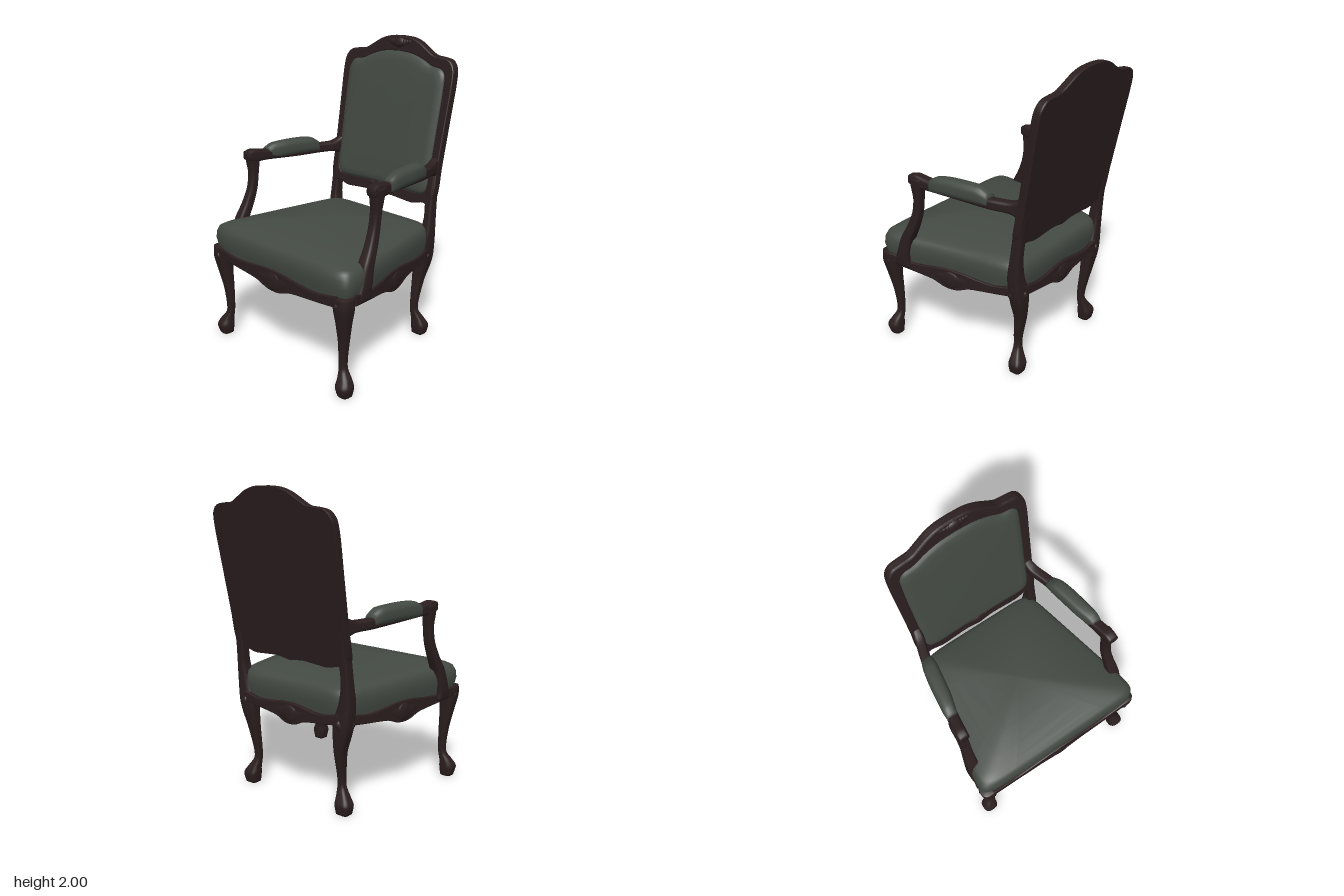
import * as THREE from 'three';

const wood = new THREE.MeshStandardMaterial({ color: 0x2b1e1f });
wood.name = 'dark wood';
const fabric = new THREE.MeshStandardMaterial({ color: 0x434943, side: THREE.DoubleSide });
fabric.name = 'grey green fabric';

const V = (x, y, z) => new THREE.Vector3(x, y, z);
const spow = (v, p) => Math.sign(v) * Math.pow(Math.abs(v), p);

function mesh(parent, name, geo, mat) {
  const m = new THREE.Mesh(geo, mat);
  m.name = name;
  parent.add(m);
  return m;
}

// Skin over rings of points; the last end is capped, the first one unless open
function skin(rings, open = false) {
  const n = rings[0].length, last = rings.length - 1, pos = [], idx = [];
  rings.forEach(r => r.forEach(p => pos.push(p.x, p.y, p.z)));
  for (let i = 0; i < last; i++)
    for (let j = 0; j < n; j++) {
      const a = i * n + j, b = i * n + (j + 1) % n;
      idx.push(a, b, a + n, b, b + n, a + n);
    }
  (open ? [last] : [0, last]).forEach(i => {
    const c = V(0, 0, 0), k = pos.length / 3;
    rings[i].forEach(p => c.addScaledVector(p, 1 / n));
    pos.push(c.x, c.y, c.z);
    for (let j = 0; j < n; j++) {
      const a = i * n + j, b = i * n + (j + 1) % n;
      if (i === 0) idx.push(b, a, k); else idx.push(a, b, k);
    }
  });
  // turn the faces outward if the enclosed volume is negative
  let vol = 0;
  const at = i => V(pos[3 * i], pos[3 * i + 1], pos[3 * i + 2]);
  for (let i = 0; i < idx.length; i += 3) vol += at(idx[i]).dot(at(idx[i + 1]).cross(at(idx[i + 2])));
  if (vol < 0) idx.reverse();
  const g = new THREE.BufferGeometry();
  g.setAttribute('position', new THREE.Float32BufferAttribute(pos, 3));
  g.setIndex(idx);
  g.computeVertexNormals();
  return g;
}

// Smooth limb through sections [x, y, z, halfWidth, halfDepth], mirrored by side
function limb(sections, side, axis, power = 0.7, n = 16) {
  const curve = pts => new THREE.CatmullRomCurve3(pts, false, 'catmullrom', 0.4);
  const mid = curve(sections.map(s => V(s[0] * side, s[1], s[2])));
  const size = curve(sections.map(s => V(s[3], s[4], 0)));
  const steps = (sections.length - 1) * 4, rings = [];
  for (let i = 0; i <= steps; i++) {
    const c = mid.getPoint(i / steps), h = size.getPoint(i / steps), ring = [];
    for (let j = 0; j < n; j++) {
      const t = (j + 0.5) / n * Math.PI * 2;
      const u = h.x * spow(Math.cos(t), power), v = h.y * spow(Math.sin(t), power);
      ring.push(axis === 'y' ? V(c.x + u, c.y, c.z + v) : V(c.x + u, c.y + v, c.z));
    }
    rings.push(ring);
  }
  return skin(rings);
}

// Carved shell: a boss with leaves fanning to both sides
function carving(parent, name, w, h, depth) {
  const g = new THREE.Group();
  g.name = name;
  const ball = new THREE.SphereGeometry(1, 14, 10);
  mesh(g, 'carvedBoss', ball, wood).scale.set(w * 0.5, h, depth);
  for (const s of [-1, 1])
    for (let i = 0; i < 3; i++) {
      const leaf = mesh(g, 'carvedLeaf', ball, wood);
      leaf.position.set(s * w * (0.4 + i * 0.2), h * (0.1 * i), -depth * 0.15);
      leaf.rotation.z = s * 0.35;
      leaf.scale.set(w * 0.28, h * (0.75 - i * 0.17), depth * (0.8 - i * 0.12));
    }
  parent.add(g);
  return g;
}

// Full closed outline from half a profile that runs bottom centre to top centre
function mirrorOutline(half) {
  const pts = half.map(p => V(p[0], p[1], 0));
  const right = new THREE.CatmullRomCurve3(pts).getPoints(half.length * 4);
  const left = right.slice(1, -1).reverse().map(p => V(-p.x, p.y, 0));
  return [...right, ...left];
}

// Apron rail with a wavy lower edge, facing the direction (nx, nz)
function rail(parent, name, x, z, nx, nz, half, carveWidth) {
  const g = new THREE.Group();
  g.name = name;
  const low = [[1, 0.595], [0.75, 0.58], [0.45, 0.565], [0.28, 0.553], [0.12, 0.525], [0, 0.518]];
  const top = [[1, 0.652], [0.85, 0.637], [0.65, 0.624], [0.4, 0.632], [0.2, 0.645], [0, 0.65]];
  const both = a => [...a.map(p => [-p[0], p[1]]), ...a.slice(0, -1).reverse()];
  const line = a => new THREE.SplineCurve(both(a).map(p => new THREE.Vector2(p[0] * half, p[1]))).getPoints(44);
  const shape = new THREE.Shape([...line(low), ...line(top).reverse()]);
  const geo = new THREE.ExtrudeGeometry(shape, { depth: 0.016, bevelThickness: 0.008, bevelSize: 0.006, bevelSegments: 2 });
  mesh(g, name + 'Board', geo.translate(0, 0, 0.001), wood);
  carving(g, name + 'Carving', carveWidth, 0.062, 0.016).position.set(0, 0.582, 0.02);
  g.position.set(x, 0, z);
  g.rotation.y = Math.atan2(nx, nz);
  parent.add(g);
}

// Rear plane of the reclining back
const backZ = y => -0.478 - 0.186 * (y - 1.2);
function recline(geo) {
  const p = geo.attributes.position;
  for (let i = 0; i < p.count; i++) p.setZ(i, p.getZ(i) + backZ(p.getY(i)));
  geo.computeVertexNormals();
  return geo;
}

export function createModel() {
  const chair = new THREE.Group();
  chair.name = 'armchair';

  // Seat cushion: hollow below, tapered outline, rounded rim, domed top
  const seatRings = [[0.975, 0.625], [0.985, 0.66], [1, 0.71], [0.993, 0.755], [0.97, 0.79],
    [0.93, 0.806], [0.85, 0.82], [0.72, 0.84], [0.5, 0.864], [0.25, 0.88], [0.03, 0.885]].map(([s, y]) => {
    const ring = [];
    for (let j = 0; j < 72; j++) {
      const t = (j + 0.5) / 72 * Math.PI * 2;
      const z = 0.09 + 0.52 * s * spow(Math.sin(t), 0.17);
      const w = 0.443 + 0.205 * (z + 0.43) / 1.04;
      ring.push(V(w * s * spow(Math.cos(t), 0.17), y, z));
    }
    return ring;
  });
  mesh(chair, 'seatCushion', skin(seatRings, true), fabric);

  // Apron rails
  rail(chair, 'frontRail', 0, 0.588, 0, 1, 0.55, 0.16);
  rail(chair, 'backRail', 0, -0.415, 0, -1, 0.39, 0.13);
  for (const s of [-1, 1]) rail(chair, s > 0 ? 'leftRail' : 'rightRail', s * 0.515, 0.06, s * 0.982, -0.189, 0.46, 0.13);

  // Back: frame with opening, rear panel and upholstery
  const outer = mirrorOutline([[0, 0.93], [0.1, 0.945], [0.2, 0.94], [0.3, 0.935], [0.38, 0.955], [0.43, 0.95],
    [0.458, 1.0], [0.462, 1.2], [0.47, 1.5], [0.475, 1.77], [0.465, 1.83], [0.43, 1.872], [0.37, 1.885],
    [0.3, 1.893], [0.24, 1.925], [0.17, 1.965], [0.1, 1.988], [0, 1.995]]);
  const inner = mirrorOutline([[0, 1.012], [0.2, 1.008], [0.34, 1.005], [0.385, 1.02], [0.405, 1.07], [0.41, 1.3],
    [0.416, 1.7], [0.41, 1.78], [0.38, 1.815], [0.3, 1.83], [0.22, 1.865], [0.12, 1.893], [0, 1.902]]);
  const frame = new THREE.Shape(outer);
  frame.holes.push(new THREE.Path(inner));
  mesh(chair, 'backFrame', recline(new THREE.ExtrudeGeometry(frame,
    { depth: 0.034, bevelThickness: 0.012, bevelSize: 0.008, bevelOffset: -0.004, bevelSegments: 2 }).translate(0, 0, 0.012)), wood);
  mesh(chair, 'backPanel', recline(new THREE.ExtrudeGeometry(new THREE.Shape(outer),
    { depth: 0.03, bevelEnabled: false })), wood);
  const padRings = [[1, 0.032], [1, 0.054], [0.985, 0.064], [0.95, 0.074], [0.87, 0.082], [0.5, 0.085], [0.05, 0.086]]
    .map(([s, d]) => inner.map(p => {
      const y = 1.45 + (p.y - 1.45) * s;
      return V(p.x * s, y, backZ(y) + d);
    }));
  mesh(chair, 'backCushion', skin(padRings), fabric);
  for (const [name, y, w, h] of [['crestCarving', 1.955, 0.1, 0.036], ['lowerBackCarving', 0.985, 0.1, 0.042]]) {
    const c = carving(chair, name, w, h, 0.02);
    c.position.set(0, y, backZ(y) + 0.054);
    c.rotation.x = -0.184;
  }

  for (const s of [-1, 1]) {
    const side = s > 0 ? 'left' : 'right';
    // Curved front leg with a knob foot
    mesh(chair, side + 'FrontLeg', limb([[0.575, 0, 0.555, 0.042, 0.042], [0.577, 0.06, 0.56, 0.053, 0.052],
      [0.568, 0.105, 0.55, 0.042, 0.04], [0.545, 0.16, 0.537, 0.026, 0.026], [0.542, 0.23, 0.535, 0.026, 0.026],
      [0.55, 0.35, 0.538, 0.033, 0.033], [0.562, 0.48, 0.55, 0.046, 0.046], [0.568, 0.58, 0.557, 0.061, 0.058],
      [0.572, 0.65, 0.557, 0.056, 0.054]], s, 'y'), wood);
    // Back leg running up into the back upright
    mesh(chair, side + 'BackLeg', limb([[0.395, 0, -0.378, 0.045, 0.04], [0.397, 0.06, -0.38, 0.054, 0.047],
      [0.385, 0.105, -0.372, 0.042, 0.036], [0.362, 0.17, -0.357, 0.024, 0.024], [0.362, 0.25, -0.36, 0.025, 0.026],
      [0.37, 0.4, -0.382, 0.038, 0.034], [0.39, 0.52, -0.39, 0.055, 0.044], [0.4, 0.6, -0.39, 0.062, 0.048],
      [0.425, 0.72, -0.388, 0.045, 0.046], [0.435, 0.85, -0.4, 0.031, 0.038], [0.43, 1.0, -0.415, 0.032, 0.034],
      [0.434, 1.2, -0.443, 0.027, 0.034]], s, 'y', 0.5), wood);
    // Knee carvings
    for (const [name, x, z, a] of [['FrontKneeCarving', 0.588, 0.578, 0.78], ['BackKneeCarving', 0.425, -0.405, 2.3]]) {
      const k = carving(chair, side + name, 0.055, 0.06, 0.026);
      k.position.set(s * x, 0.585, z);
      k.rotation.y = s * a;
    }
    // Swept arm support
    mesh(chair, side + 'ArmSupport', limb([[0.575, 0.59, 0.43, 0.044, 0.075], [0.579, 0.64, 0.42, 0.046, 0.058],
      [0.58, 0.7, 0.405, 0.045, 0.05],
      [0.577, 0.8, 0.378, 0.041, 0.043], [0.569, 0.9, 0.33, 0.034, 0.037], [0.561, 1.0, 0.295, 0.031, 0.031],
      [0.56, 1.1, 0.28, 0.031, 0.03], [0.564, 1.18, 0.278, 0.034, 0.042], [0.565, 1.245, 0.276, 0.036, 0.052]],
      s, 'y', 0.5), wood);
    // Arm rail
    mesh(chair, side + 'ArmRail', limb([[0.564, 1.23, 0.33, 0.034, 0.03], [0.562, 1.226, 0.28, 0.037, 0.045],
      [0.548, 1.218, 0.18, 0.036, 0.036], [0.508, 1.2, -0.05, 0.035, 0.03], [0.48, 1.197, -0.25, 0.035, 0.034],
      [0.445, 1.195, -0.37, 0.034, 0.038], [0.43, 1.195, -0.44, 0.03, 0.07]], s, 'z', 0.5), wood);
    // Arm pad
    mesh(chair, side + 'ArmPad', limb([[0.549, 1.222, 0.172, 0.036, 0.04], [0.542, 1.234, 0.12, 0.044, 0.054],
      [0.526, 1.238, 0.04, 0.05, 0.057], [0.508, 1.238, -0.08, 0.052, 0.057], [0.49, 1.233, -0.18, 0.049, 0.054],
      [0.48, 1.212, -0.24, 0.038, 0.04]], s, 'z', 0.7), fabric);
  }
  return chair;
}
